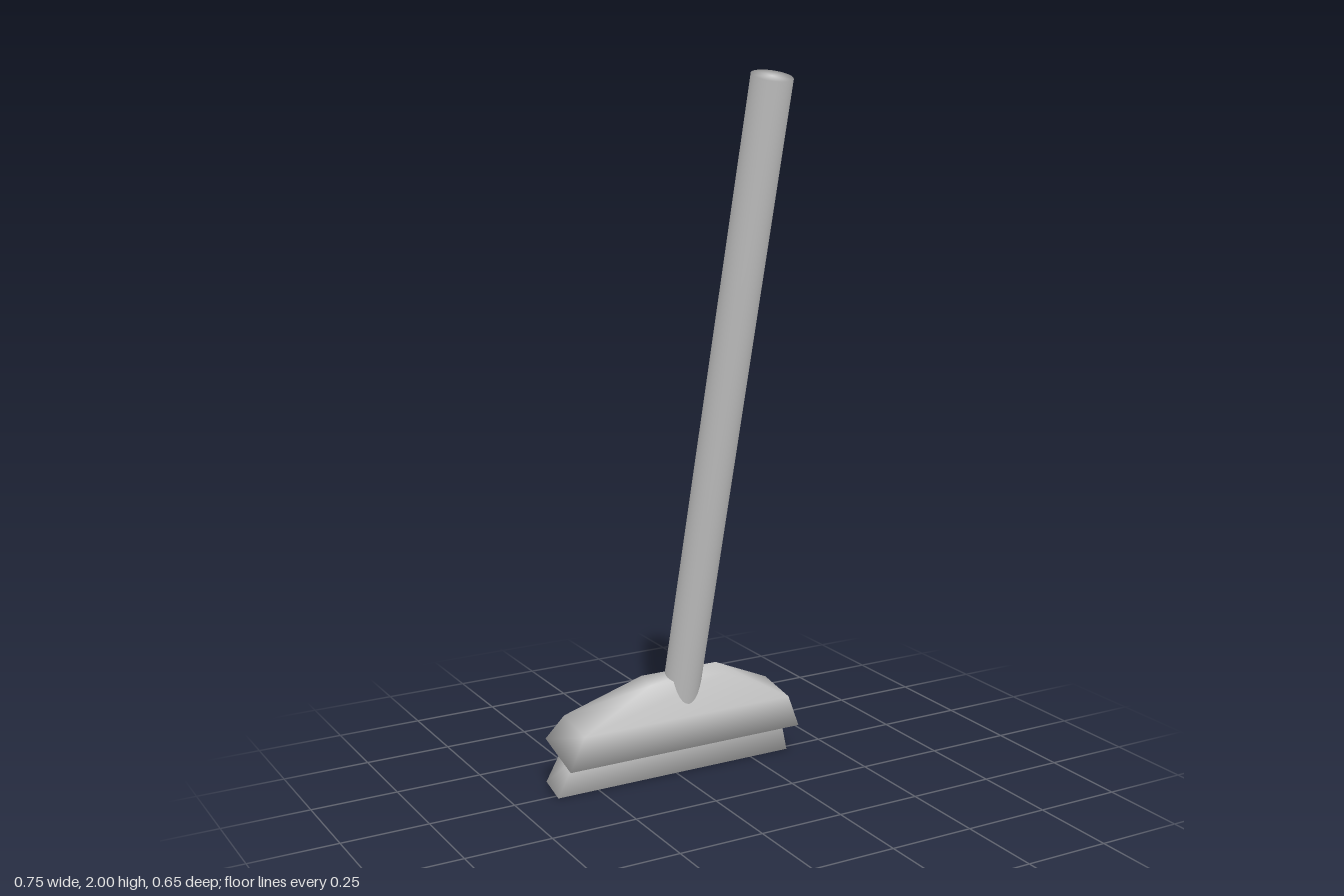
import * as THREE from 'three';
import { mergeVertices } from 'three/addons/utils/BufferGeometryUtils.js';

const material = new THREE.MeshStandardMaterial({ color: 0xcccccc });

// Softly shaded closed solid lofted through rectangular sections, bottom to top.
// Each section: half length in x, back z and height, front z and height.
function loft(sections) {
  const points = [];
  const index = [];
  for (const { x, back, front } of sections) {
    points.push(-x, front[1], front[0], x, front[1], front[0]);
    points.push(x, back[1], back[0], -x, back[1], back[0]);
  }
  const quad = (a, b, c, d) => index.push(a, b, c, a, c, d);
  for (let s = 0; s < sections.length - 1; s++) {
    for (let i = 0; i < 4; i++) {
      const a = s * 4 + i, b = s * 4 + (i + 1) % 4;
      quad(a, b, b + 4, a + 4);
    }
  }
  const t = (sections.length - 1) * 4;
  quad(3, 2, 1, 0);
  quad(t, t + 1, t + 2, t + 3);
  const geometry = new THREE.BufferGeometry();
  geometry.setAttribute('position', new THREE.Float32BufferAttribute(points, 3));
  geometry.setIndex(index);
  geometry.computeVertexNormals();
  return geometry;
}

// Section symmetric about the handle axis
const level = (x, z, y) => ({ x, back: [-z, y], front: [z, y] });

export function createModel() {
  const model = new THREE.Group();
  model.name = 'broom';

  // Everything leans forward with the handle
  const tilted = new THREE.Group();
  tilted.name = 'tiltedBroom';
  tilted.rotation.x = THREE.MathUtils.degToRad(15.5);
  tilted.position.z = -0.275;
  model.add(tilted);

  const add = (name, geometry) => {
    const mesh = new THREE.Mesh(geometry, material);
    mesh.name = name;
    tilted.add(mesh);
    return mesh;
  };

  // Long round handle, its rim shaded smoothly into the flat ends
  const bottom = 0.2, top = 2.06;
  const pole = new THREE.CylinderGeometry(0.053, 0.053, top - bottom, 32);
  pole.deleteAttribute('normal');
  pole.deleteAttribute('uv');
  const handle = mergeVertices(pole);
  handle.computeVertexNormals();
  add('handle', handle).position.y = (top + bottom) / 2;

  // Head widening from a short ridge to a broad base
  add('head', loft([
    level(0.37, 0.085, 0.129),
    { x: 0.33, back: [-0.066, 0.212], front: [0.066, 0.226] },
    level(0.12, 0.027, 0.328),
  ]));

  // Bristle block flaring towards the floor
  add('bristles', loft([
    level(0.375, 0.041, 0.012),
    level(0.333, 0.037, 0.14),
  ]));

  return model;
}
